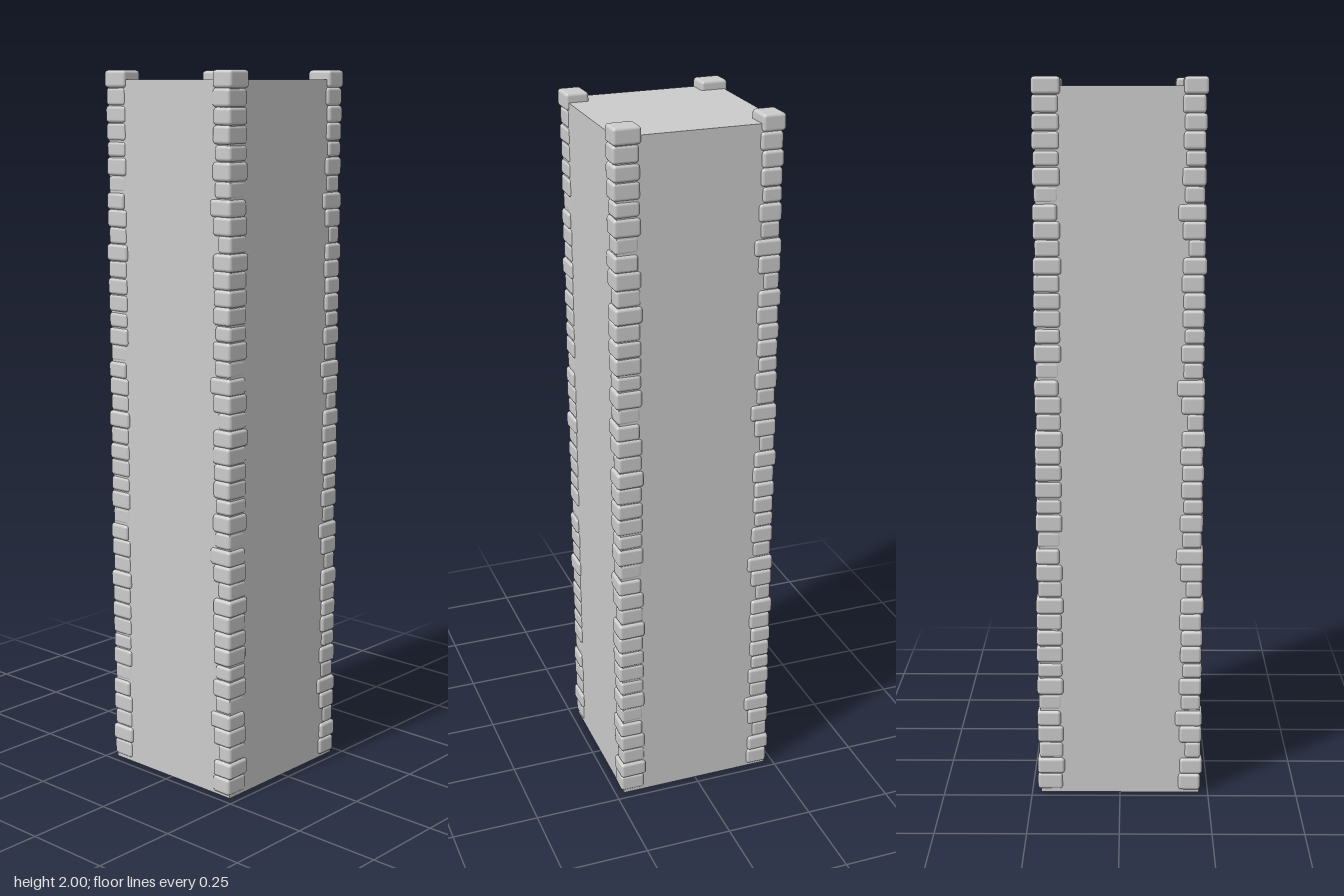
import * as THREE from 'three';
import { RoundedBoxGeometry } from 'three/addons/geometries/RoundedBoxGeometry.js';

// One repeating run of corner stones, listed from the top down:
// [inner x, outer x, inner z, outer z, height, yaw]
const COURSES = [
  [0.168, 0.234, 0.157, 0.235, 0.047, 0.02],
  [0.166, 0.229, 0.161, 0.234, 0.049, -0.02],
  [0.170, 0.231, 0.160, 0.235, 0.046, 0.03],
  [0.169, 0.229, 0.159, 0.235, 0.049, -0.01],
  [0.174, 0.230, 0.161, 0.232, 0.042, 0.02],
  [0.166, 0.231, 0.158, 0.234, 0.050, -0.02],
  [0.171, 0.227, 0.163, 0.230, 0.046, 0.02],
  [0.156, 0.233, 0.166, 0.234, 0.046, -0.03],
  [0.167, 0.231, 0.159, 0.234, 0.050, 0.01],
  [0.182, 0.229, 0.160, 0.230, 0.048, 0.03],
];
const COUNT = 42;
const PITCH = 0.0474;

// Rounded stone with faintly swollen sides
function stoneGeometry(w, h, d) {
  const geo = new RoundedBoxGeometry(w, h, d, 2, 0.009);
  const p = geo.attributes.position;
  for (let i = 0; i < p.count; i++) {
    const t = p.getY(i) / (h / 2);
    const s = 1 - 0.035 * t * t;
    p.setX(i, p.getX(i) * s);
    p.setZ(i, p.getZ(i) * s);
  }
  return geo;
}

export function createModel() {
  const model = new THREE.Group();
  model.name = 'tower';
  const material = new THREE.MeshStandardMaterial({ color: 0xcccccc });

  // Plain square shaft
  const shaft = new THREE.Mesh(new THREE.BoxGeometry(0.45, 1.975, 0.45), material);
  shaft.name = 'shaft';
  shaft.position.y = 1.975 / 2;
  model.add(shaft);

  const geometries = COURSES.map(([x0, x1, z0, z1, h]) => stoneGeometry(x1 - x0, h, z1 - z0));

  // The same stack of stones turned onto each of the four corners
  for (let c = 0; c < 4; c++) {
    const corner = new THREE.Group();
    corner.name = 'cornerStones' + (c + 1);
    corner.rotation.y = c * Math.PI / 2;
    for (let i = 0; i < COUNT; i++) {
      const k = i % COURSES.length;
      const [x0, x1, z0, z1, h, yaw] = COURSES[k];
      const stone = new THREE.Mesh(geometries[k], material);
      stone.name = 'stone';
      const y = 2 - PITCH * (i + 0.5);
      stone.position.set((x0 + x1) / 2, Math.min(2 - h / 2, Math.max(h / 2, y)), (z0 + z1) / 2);
      stone.rotation.y = yaw;
      corner.add(stone);
    }
    model.add(corner);
  }
  return model;
}
